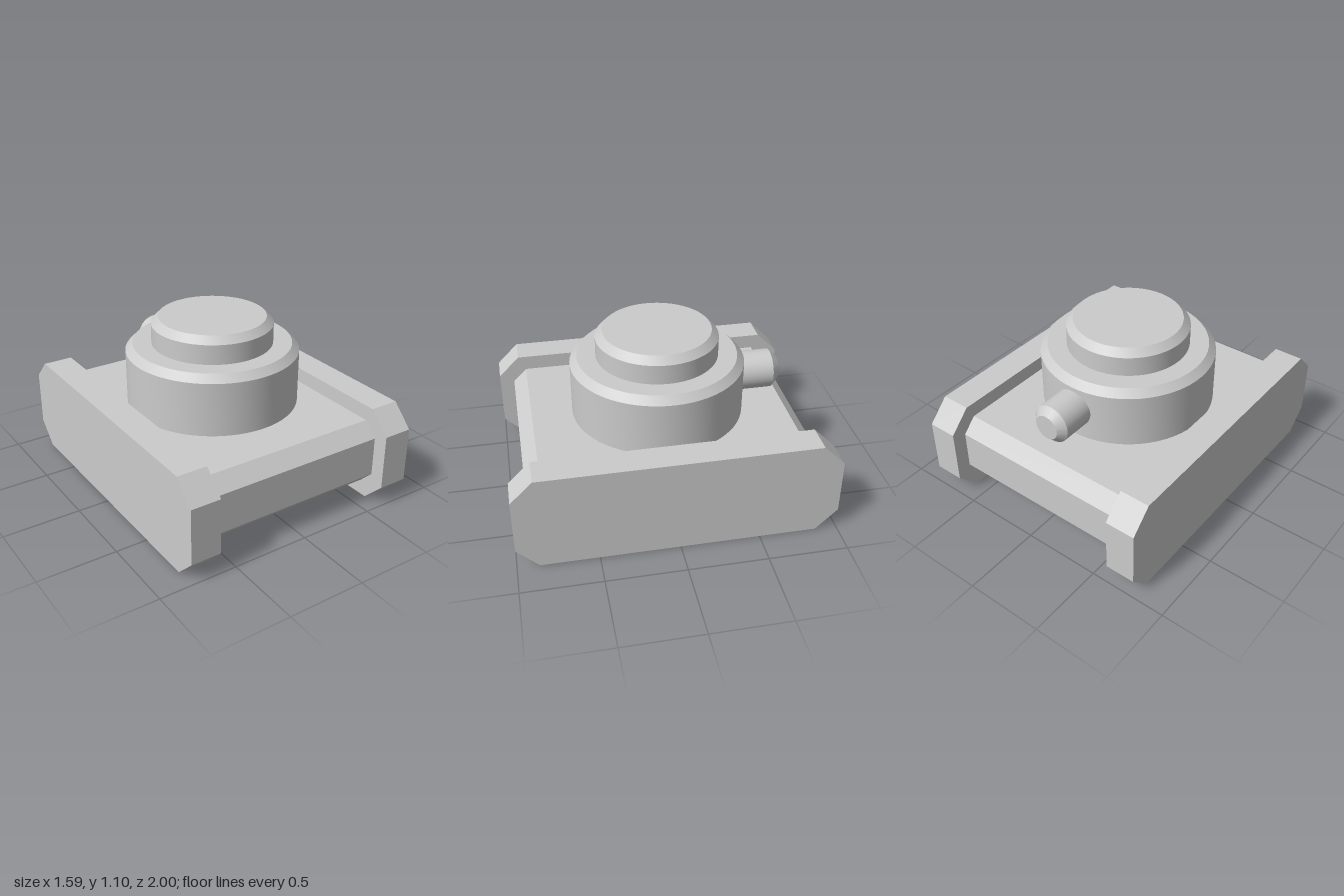
import * as THREE from 'three';
import { toCreasedNormals } from 'three/addons/utils/BufferGeometryUtils.js';

const material = new THREE.MeshStandardMaterial({ color: 0xcccccc });

function part(name, geometry, x, y, z) {
  const mesh = new THREE.Mesh(geometry, material);
  mesh.name = name;
  mesh.position.set(x, y, z);
  return mesh;
}

// Slab with a chamfered side outline, standing on y = 0 and centred on x and z
function chamferedSlab(width, height, length, chamfer) {
  const h = length / 2, c = chamfer;
  const outline = new THREE.Shape([
    [-h + c, 0], [h - c, 0], [h, c], [h, height - c],
    [h - c, height], [-h + c, height], [-h, height - c], [-h, c],
  ].map(([z, y]) => new THREE.Vector2(z, y)));
  return new THREE.ExtrudeGeometry(outline, { depth: width, bevelEnabled: false })
    .translate(0, 0, -width / 2)
    .rotateY(Math.PI / 2);
}

// Upright round drum with a chamfered top rim
function chamferedDrum(radius, height, chamfer) {
  const profile = [
    [0, 0], [radius, 0], [radius, height - chamfer], [radius - chamfer, height], [0, height],
  ].map(([r, y]) => new THREE.Vector2(r, y));
  return toCreasedNormals(new THREE.LatheGeometry(profile, 64), 0.5);
}

export function createModel() {
  const model = new THREE.Group();
  model.name = 'tank';

  // Hull between the two tracks
  model.add(part('hull', chamferedSlab(1.21, 0.435, 1.81, 0.09), 0, 0.1, 0));
  for (const [name, side] of [['leftTrack', 1], ['rightTrack', -1]]) {
    model.add(part(name, chamferedSlab(0.192, 0.632, 2, 0.137), side * 0.7, 0, 0));
  }

  // Turret and hatch
  model.add(part('turret', chamferedDrum(0.553, 0.393, 0.046), 0, 0.535, 0));
  model.add(part('hatch', chamferedDrum(0.387, 0.172, 0.045), 0, 0.928, 0));

  // Short barrel, rooted inside the turret and pointing to the back
  const barrel = chamferedDrum(0.125, 0.39, 0.045).rotateX(-Math.PI / 2);
  model.add(part('barrel', barrel, 0, 0.73, -0.4));

  return model;
}
